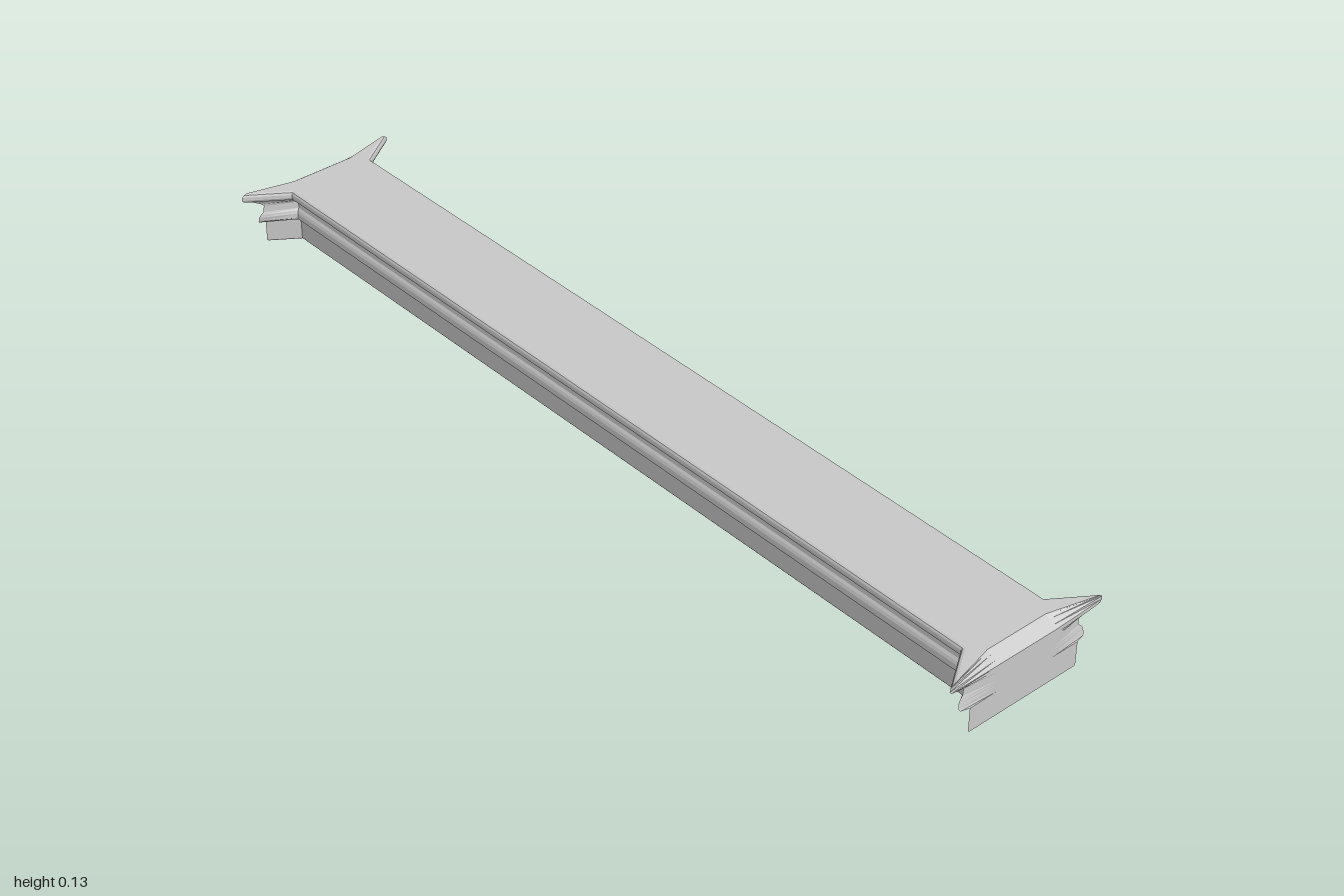
import * as THREE from 'three';

// Half width and height of the moulding at its flared ends, from base to top;
// the last value is how far the end face's rim is set back.
const PROFILE = [
  [0.128, 0, 0], [0.131, 0.003, 0], [0.131, 0.053, 0],
  [0.149, 0.054, 0.004], [0.152, 0.058, 0.006], [0.151, 0.068, 0.008],
  [0.147, 0.074, 0.009], [0.141, 0.079, 0.01], [0.139, 0.093, 0.01],
  [0.144, 0.098, 0.008], [0.152, 0.102, 0.005], [0.168, 0.11, 0],
  [0.179, 0.112, 0], [0.184, 0.118, 0], [0.183, 0.125, 0],
  [0.179, 0.129, 0], [0.171, 0.131, 0],
];
const TOP = 0.131;
const NARROW = 0.545; // width of the long run relative to the ends
const MITRE = 0.31;   // slope of the flare in plan

// Plan outline at one height, counter-clockwise seen from above
function outline([w, y, back]) {
  const notch = y > 0.113 ? 0.025 * (y - 0.113) / (TOP - 0.113) : 0;
  const quarter = [[0.07, 1 - notch], [w, 1 - back], [w * NARROW, 1 - MITRE * w]];
  const right = [...quarter, ...quarter.map(([x, z]) => [x, -z]).reverse()];
  const left = right.map(([x, z]) => [-x, z]).reverse();
  return [...right, ...left].map(([x, z]) => new THREE.Vector3(x, y, z));
}

// Loft the outlines into a closed body
function mouldingGeometry() {
  const rows = PROFILE.map(outline);
  const n = rows[0].length;
  const positions = rows.flat().flatMap((p) => p.toArray());
  const index = [];
  for (let i = 0; i < rows.length - 1; i++) {
    for (let j = 0; j < n; j++) {
      const k = (j + 1) % n;
      const a = i * n + j, b = i * n + k;
      index.push(a, b, b + n, a, b + n, a + n);
    }
  }
  // flat top and underside
  const capFaces = (row) => THREE.ShapeUtils.triangulateShape(
    row.map((p) => new THREE.Vector2(p.x, -p.z)), []);
  const last = (rows.length - 1) * n;
  for (const [a, b, c] of capFaces(rows[rows.length - 1])) index.push(last + a, last + b, last + c);
  for (const [a, b, c] of capFaces(rows[0])) index.push(a, c, b);

  const indexed = new THREE.BufferGeometry();
  indexed.setAttribute('position', new THREE.Float32BufferAttribute(positions, 3));
  indexed.setIndex(index);
  const geometry = indexed.toNonIndexed();
  geometry.computeVertexNormals();
  return geometry;
}

export function createModel() {
  const group = new THREE.Group();
  group.name = 'moulding';
  const stone = new THREE.MeshStandardMaterial({ color: 0xc8c8c8 });
  stone.name = 'light grey stone';
  const beam = new THREE.Mesh(mouldingGeometry(), stone);
  beam.name = 'mouldedBeam';
  group.add(beam);
  return group;
}
